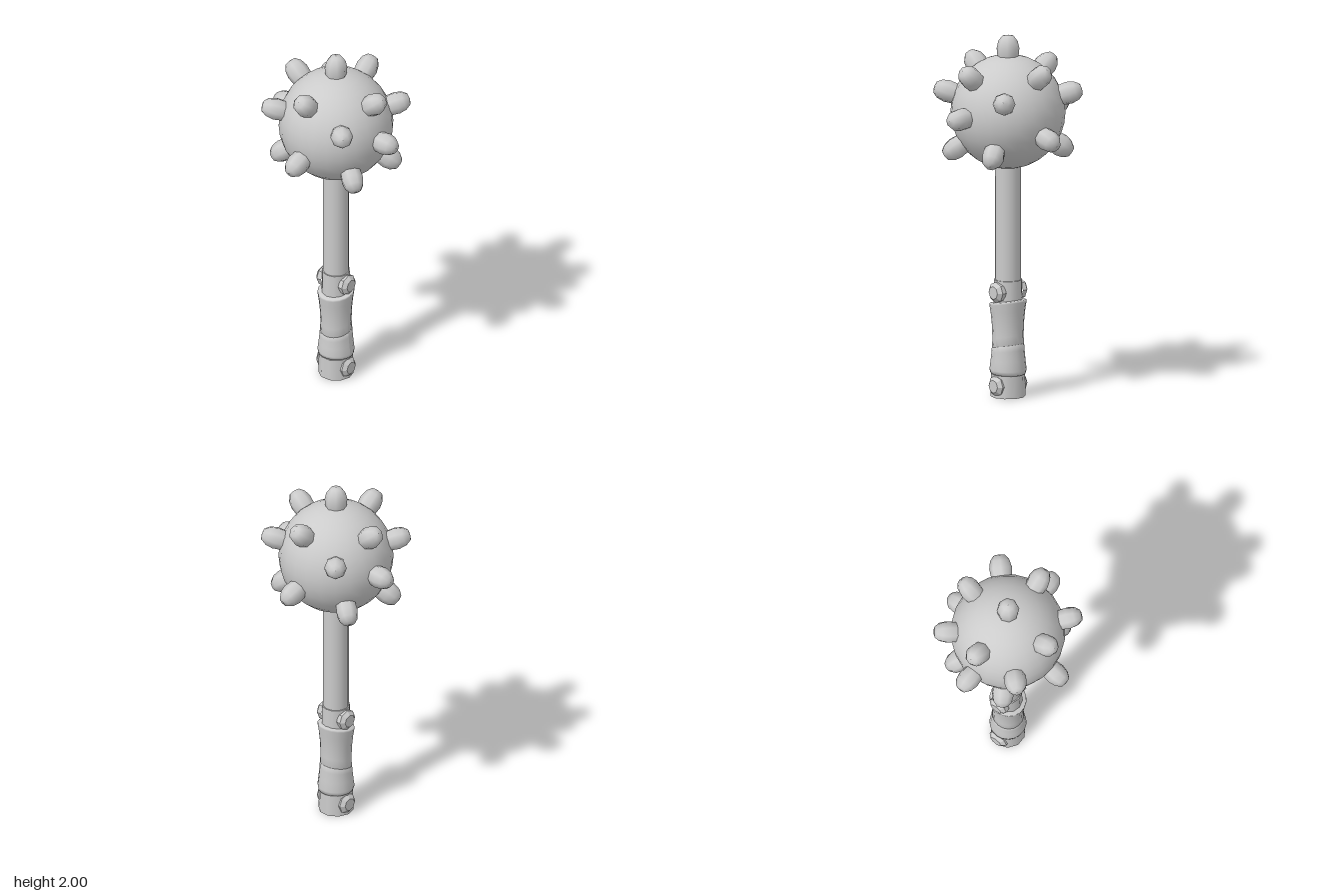
import * as THREE from 'three';

const UP = new THREE.Vector3(0, 1, 0);

export function createModel() {
  const model = new THREE.Group();
  model.name = 'spikedMace';
  const smooth = new THREE.MeshStandardMaterial({ color: 0xcccccc });
  const faceted = new THREE.MeshStandardMaterial({ color: 0xcccccc, flatShading: true });

  const add = (name, geometry, material = smooth) => {
    const mesh = new THREE.Mesh(geometry, material);
    mesh.name = name;
    model.add(mesh);
    return mesh;
  };
  const lathe = (points, sides) =>
    new THREE.LatheGeometry(points.map(([r, y]) => new THREE.Vector2(r, y)), sides);
  const tube = (name, rTop, rBottom, y0, y1, sides) =>
    add(name, new THREE.CylinderGeometry(rTop, rBottom, y1 - y0, sides)).position.y = (y0 + y1) / 2;

  // Head
  const centre = new THREE.Vector3(0, 1.58, 0);
  add('head', new THREE.SphereGeometry(0.313, 24, 16)).position.copy(centre);

  // Blunt studs, pointing out of the head
  const studShape = lathe([[0.05, 0.27], [0.058, 0.31], [0.062, 0.35], [0.053, 0.39],
    [0.032, 0.418], [0, 0.424]], 8);
  const addStud = (x, y, z) => {
    const stud = add('stud', studShape);
    stud.position.copy(centre);
    stud.quaternion.setFromUnitVectors(UP, new THREE.Vector3(x, y, z).normalize());
  };
  addStud(0, 1, 0);
  for (const s of [-1, 1]) {
    addStud(s * 0.27, 0.235, 0);
    addStud(0, 0.225, s * 0.275);
    addStud(s * 0.36, -0.12, 0);
    addStud(0, 0, s);
    for (const t of [-1, 1]) {
      addStud(s * 0.25, 0.115, t * 0.25);
      addStud(s * 0.165, -0.21, t * 0.26);
    }
  }

  // Shaft, collar and pommel
  tube('shaft', 0.07, 0.07, 0.1, 1.32, 16);
  tube('collar', 0.077, 0.08, 0.48, 0.648, 12);
  tube('pommel', 0.093, 0.096, 0, 0.125, 10);

  // Grip wraps: flared sleeves whose upper rims slope up towards +x
  const addWrap = (name, points, slope) => {
    const geometry = lathe(points, 18);
    const p = geometry.attributes.position;
    const y0 = points[0][1], y1 = points[points.length - 1][1];
    for (let i = 0; i < p.count; i++) {
      const t = (p.getY(i) - y0) / (y1 - y0);
      p.setY(i, p.getY(i) + p.getX(i) * THREE.MathUtils.lerp(slope[0], slope[1], t));
    }
    geometry.computeVertexNormals();
    add(name, geometry);
  };
  addWrap('lowerWrap', [[0.07, 0.118], [0.097, 0.13], [0.101, 0.15], [0.095, 0.2],
    [0.09, 0.25], [0.088, 0.28], [0.07, 0.29]], [-0.05, 0.2]);
  addWrap('upperWrap', [[0.07, 0.262], [0.087, 0.272], [0.085, 0.33], [0.087, 0.4],
    [0.094, 0.47], [0.101, 0.515], [0.1, 0.526], [0.07, 0.53]], [0.2, 0.17]);

  // Faceted rivets on the front and back of collar and pommel
  const rivetShape = lathe([[0.055, 0.06], [0.058, 0.088], [0.036, 0.108], [0, 0.108]], 8);
  for (const y of [0.585, 0.065]) {
    for (const s of [-1, 1]) {
      const rivet = add('rivet', rivetShape, faceted);
      rivet.position.y = y;
      rivet.rotation.x = s * Math.PI / 2;
    }
  }
  return model;
}
